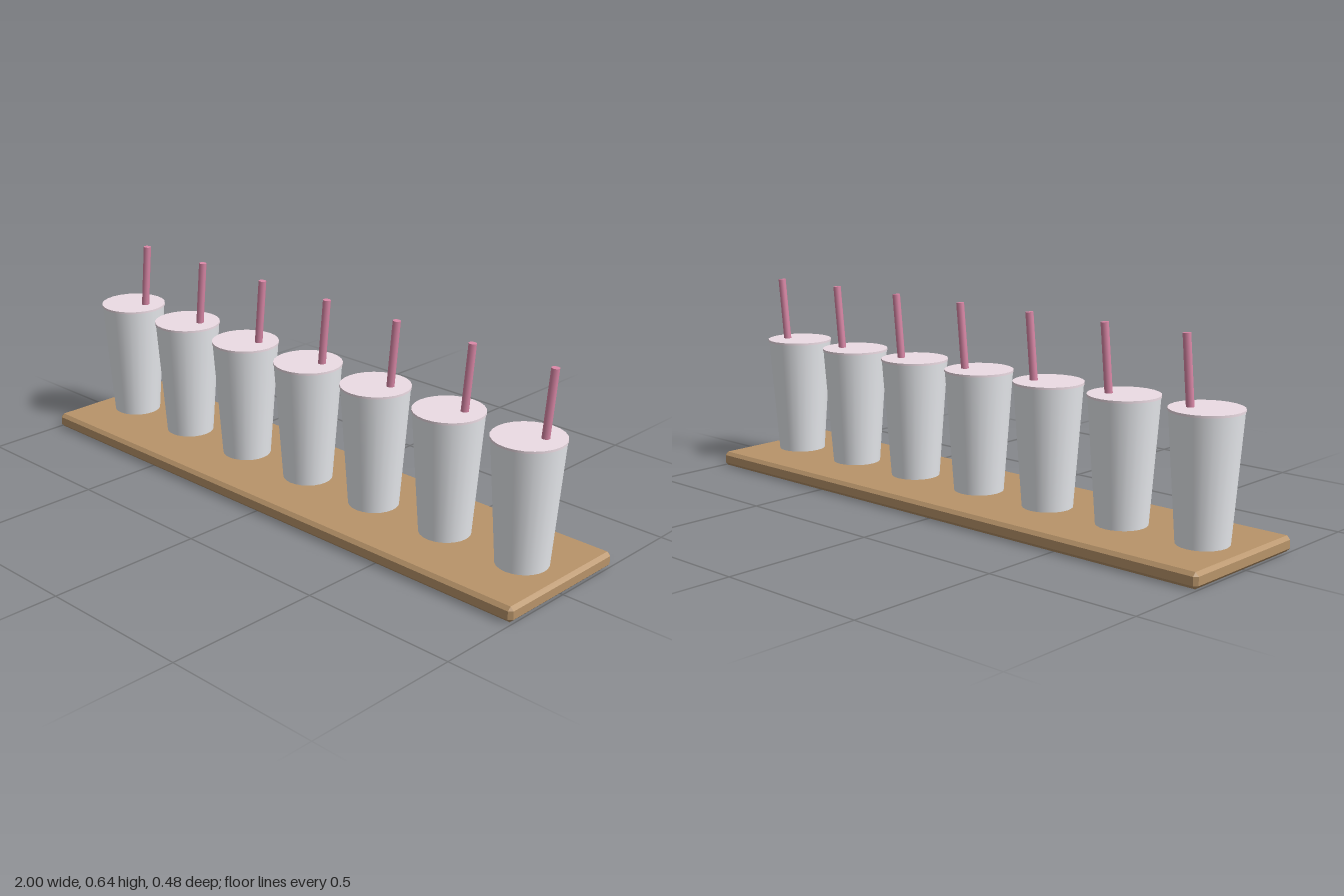
import * as THREE from 'three';
import { ConvexGeometry } from 'three/addons/geometries/ConvexGeometry.js';

const CUPS = 7, SPACING = 0.285, BOARD_TOP = 0.048, LID_BASE = 0.43;

// Box with every edge chamfered, from the 24 corners of its inset faces
function chamferedBox(w, h, d, c) {
  const points = [];
  for (const sx of [-1, 1]) for (const sy of [-1, 1]) for (const sz of [-1, 1]) {
    const [x, y, z] = [sx * w / 2, sy * h / 2, sz * d / 2];
    points.push(
      new THREE.Vector3(x, y - sy * c, z - sz * c),
      new THREE.Vector3(x - sx * c, y, z - sz * c),
      new THREE.Vector3(x - sx * c, y - sy * c, z));
  }
  return new ConvexGeometry(points);
}

function named(name, geometry, material) {
  const mesh = new THREE.Mesh(geometry, material);
  mesh.name = name;
  return mesh;
}

export function createModel() {
  const group = new THREE.Group();
  group.name = 'cupTray';
  const wood = new THREE.MeshStandardMaterial({ color: 0xb8946a });
  const paper = new THREE.MeshStandardMaterial({ color: 0xe8eaee });
  const lidPink = new THREE.MeshStandardMaterial({ color: 0xecdce4 });
  const strawPink = new THREE.MeshStandardMaterial({ color: 0xd987a6 });

  // Wooden board
  const board = named('board', chamferedBox(2, BOARD_TOP, 0.476, 0.011), wood);
  board.position.y = BOARD_TOP / 2;
  group.add(board);

  // Shared cup parts
  const cupHeight = LID_BASE - BOARD_TOP;
  const cupGeometry = new THREE.CylinderGeometry(0.107, 0.079, cupHeight, 24);
  const lidGeometry = new THREE.CylinderGeometry(0.109, 0.109, 0.007, 24);

  // The straw leans slightly right and back, and starts inside the cup
  const strawBottom = new THREE.Vector3(0.033, 0.3, -0.015);
  const strawTop = new THREE.Vector3(0.054, 0.644, -0.028);
  const strawAxis = strawTop.clone().sub(strawBottom);
  const strawGeometry = new THREE.CylinderGeometry(0.0125, 0.0125, strawAxis.length(), 10);

  for (let i = 0; i < CUPS; i++) {
    const drink = new THREE.Group();
    drink.name = `drink${i + 1}`;
    drink.position.x = (i - (CUPS - 1) / 2) * SPACING;

    const cup = named('cup', cupGeometry, paper);
    cup.position.y = BOARD_TOP + cupHeight / 2;

    const lid = named('lid', lidGeometry, lidPink);
    lid.position.y = LID_BASE + 0.0035;

    const straw = named('straw', strawGeometry, strawPink);
    straw.position.copy(strawBottom).add(strawTop).multiplyScalar(0.5);
    straw.quaternion.setFromUnitVectors(new THREE.Vector3(0, 1, 0), strawAxis.clone().normalize());

    drink.add(cup, lid, straw);
    group.add(drink);
  }
  return group;
}
